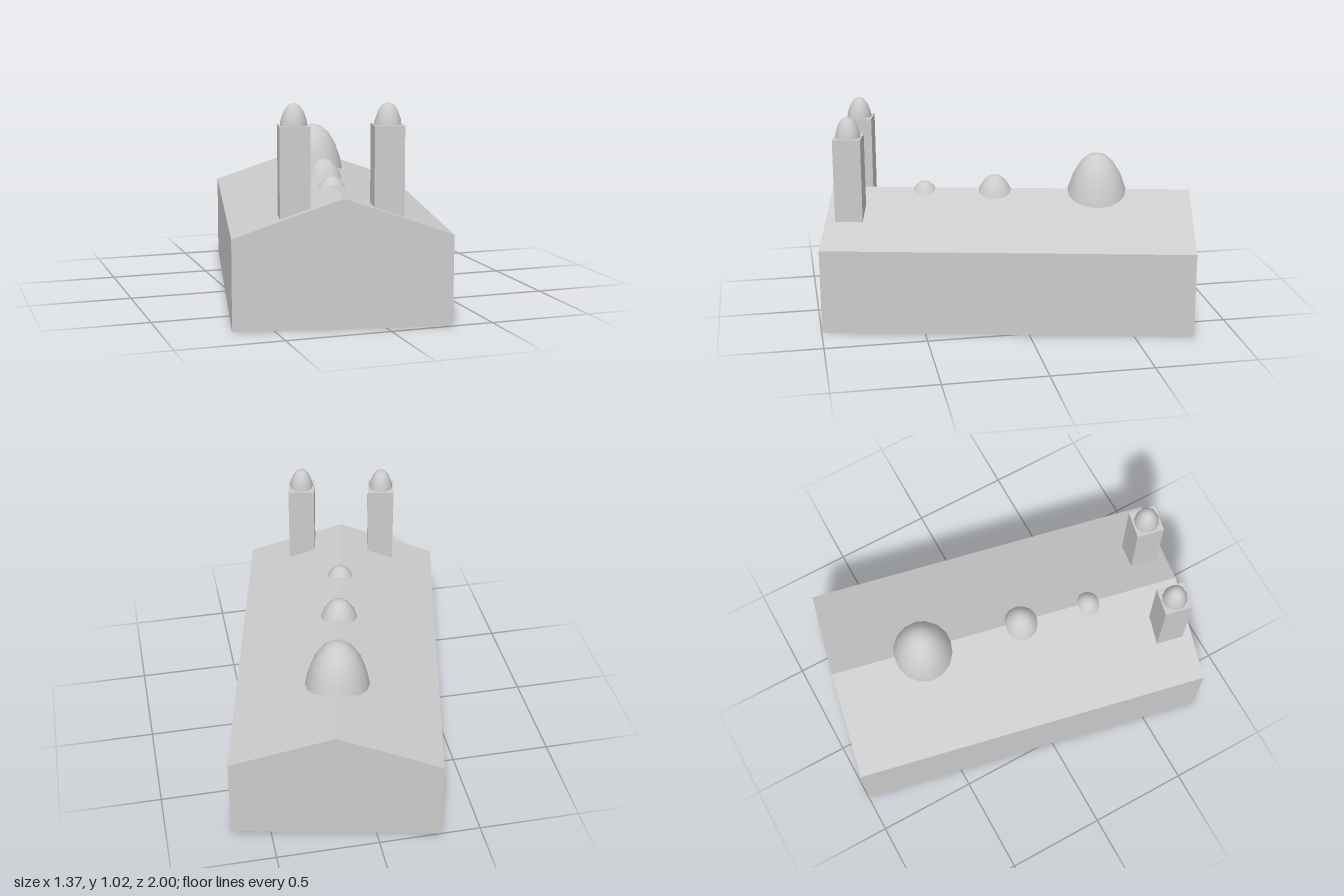
import * as THREE from 'three';

const HALF_W = 0.506, HALF_L = 0.912, EAVE = 0.425, RIDGE = 0.6;

export function createModel() {
  const model = new THREE.Group();
  model.name = 'domedHall';
  const stone = new THREE.MeshStandardMaterial({ color: 0xcccccc, side: THREE.DoubleSide });
  stone.name = 'pale stone';

  const add = (parent, name, geometry, x = 0, y = 0, z = 0) => {
    const mesh = new THREE.Mesh(geometry, stone);
    mesh.name = name;
    mesh.position.set(x, y, z);
    parent.add(mesh);
    return mesh;
  };

  // Hollow hall, open underneath: side walls and roof slopes along one profile
  const profile = [[-HALF_W, 0], [-HALF_W, EAVE], [0, RIDGE], [HALF_W, EAVE], [HALF_W, 0]];
  const names = ['rightWall', 'rightRoof', 'leftRoof', 'leftWall'];
  names.forEach((name, i) => {
    const [p, q] = [profile[i], profile[i + 1]];
    const corners = [[...p, HALF_L], [...q, HALF_L], [...q, -HALF_L], [...p, -HALF_L]];
    const slab = new THREE.BufferGeometry();
    slab.setAttribute('position', new THREE.Float32BufferAttribute(corners.flat(), 3));
    slab.setIndex([0, 1, 2, 0, 2, 3]);
    slab.computeVertexNormals();
    add(model, name, slab);
  });

  // Gable ends
  const gable = new THREE.ShapeGeometry(new THREE.Shape(profile.map(([x, y]) => new THREE.Vector2(x, y))));
  add(model, 'frontGable', gable, 0, 0, HALF_L);
  add(model, 'backGable', gable, 0, 0, -HALF_L).rotation.y = Math.PI;

  // Tall half-ellipsoid dome with a flat base
  const addDome = (parent, name, radius, height, x, y, z, sides, rings) => {
    const dome = new THREE.Group();
    dome.name = name;
    dome.position.set(x, y, z);
    const shell = new THREE.SphereGeometry(radius, sides, rings, 0, Math.PI * 2, 0, Math.PI / 2);
    shell.scale(1, height / radius, 1);
    add(dome, name + 'Shell', shell);
    add(dome, name + 'Base', new THREE.CircleGeometry(radius, sides).rotateX(Math.PI / 2));
    parent.add(dome);
  };

  // Domes growing in size along the ridge
  addDome(model, 'smallDome', 0.097, 0.21, 0, EAVE, 0.44, 16, 6);
  addDome(model, 'middleDome', 0.116, 0.247, 0, EAVE, 0.08, 16, 6);
  addDome(model, 'largeDome', 0.169, 0.367, 0, EAVE, -0.44, 16, 6);

  // Twin towers, open at the foot, each with a small cap dome
  const TOWER_W = 0.138, TOWER_H = 0.92;
  for (const side of [-1, 1]) {
    const tower = new THREE.Group();
    tower.name = side < 0 ? 'rightTower' : 'leftTower';
    tower.position.set(side * 0.215, 0, 0.794);
    const shaft = new THREE.BoxGeometry(TOWER_W, TOWER_H, TOWER_W);
    const faces = Array.from(shaft.index.array);
    faces.splice(18, 6); // drop the bottom face
    shaft.setIndex(faces);
    shaft.clearGroups();
    add(tower, 'towerShaft', shaft, 0, TOWER_H / 2, 0);
    addDome(tower, 'towerDome', 0.065, 0.132, 0, 0.89, 0, 12, 4);
    model.add(tower);
  }

  // The whole building stands turned on its plot
  model.rotation.y = -0.212;
  const root = new THREE.Group();
  root.name = 'building';
  root.add(model);
  return root;
}
